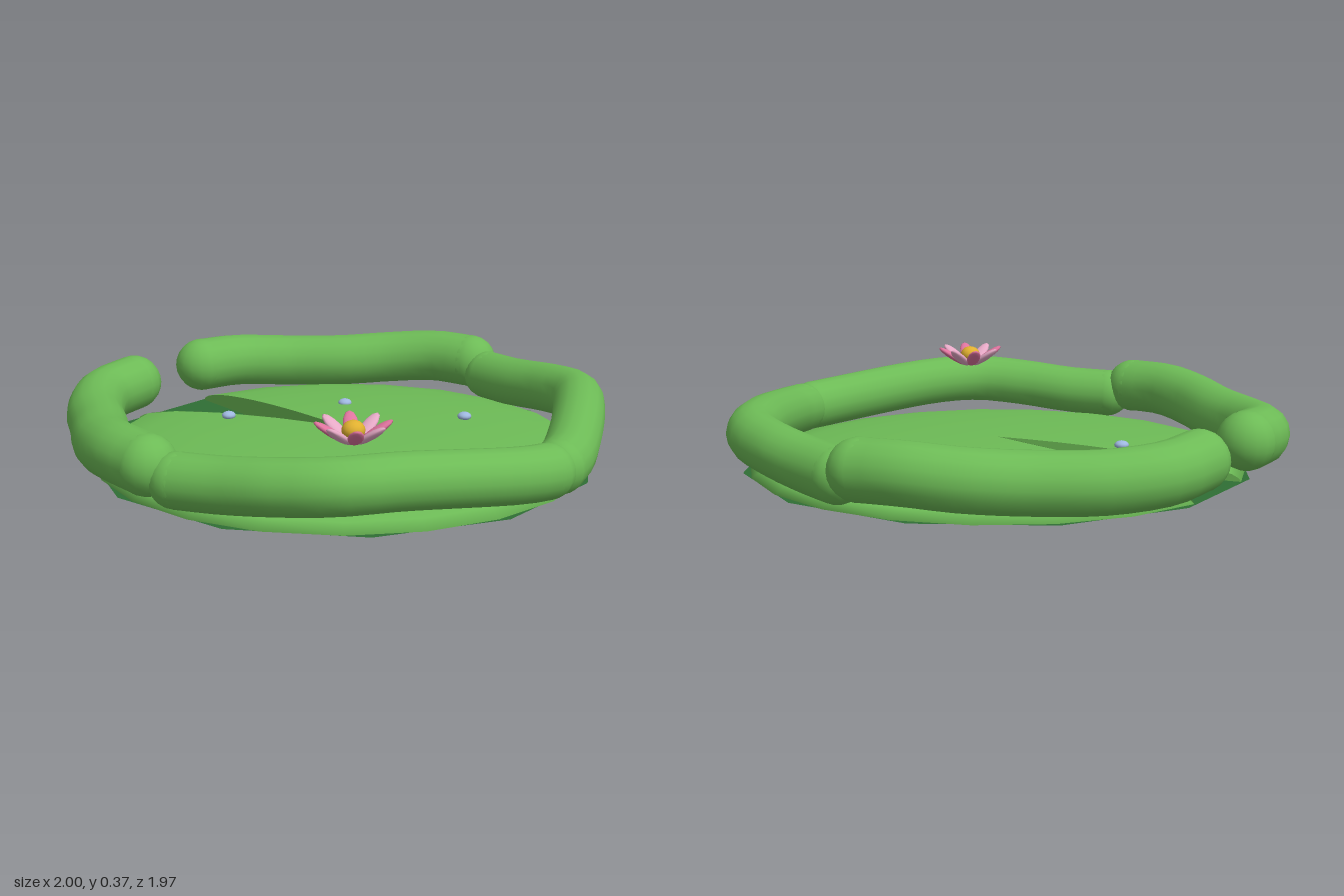
import * as THREE from 'three';

const mat = (name, color, side = THREE.FrontSide) => {
  const m = new THREE.MeshStandardMaterial({ color, side });
  m.name = name;
  return m;
};

export function createModel() {
  const root = new THREE.Group();
  root.name = 'lilyPad';
  const leaf = mat('leaf green', 0x6dbb56);
  const leafTwoSided = mat('leaf green', 0x6dbb56, THREE.DoubleSide);
  leaf.side = THREE.DoubleSide;
  const under = mat('underside dark green', 0x2f6e35);
  const deepPink = mat('deep pink', 0xe0749f);
  const palePink = mat('pale pink', 0xe6a9c6);
  const yellow = mat('pollen yellow', 0xe0b030);
  const water = mat('water blue', 0x9fb8e0);

  const add = (name, geo, material, parent = root) => {
    const m = new THREE.Mesh(geo, material);
    m.name = name;
    parent.add(m);
    return m;
  };

  const rimY = 0.06, domeH = 0.09, padR = 0.89, notch = 0.205;

  // Shallow dark underside with a flat lid that shows through the notch
  const bowl = add('underside',
    new THREE.SphereGeometry(1, 12, 2, Math.PI / 12, Math.PI * 2, Math.PI / 2, Math.PI / 2), under);
  bowl.scale.set(0.91, rimY, 0.91);
  bowl.position.y = rimY;
  const lid = add('undersideLid', new THREE.CircleGeometry(0.91, 12, Math.PI / 12), under);
  lid.rotation.x = -Math.PI / 2;
  lid.position.y = rimY;

  // Domed leaf with a wedge cut out at the back
  const dome = add('leafTop', new THREE.SphereGeometry(1, 20, 5,
    Math.PI * 1.5 + notch, Math.PI * 2 - notch * 2, 0, Math.PI / 2), leaf);
  dome.scale.set(padR, domeH, padR);
  dome.position.y = rimY;

  // Cut faces of the wedge
  const cut = new THREE.Shape();
  cut.moveTo(0, 0);
  cut.lineTo(padR, 0);
  cut.absellipse(0, 0, padR, domeH, 0, Math.PI / 2, false, 0);
  cut.lineTo(0, 0);
  for (const s of [-1, 1]) {
    const wall = add('notchWall', new THREE.ShapeGeometry(cut, 6), leafTwoSided);
    wall.rotation.y = Math.PI / 2 + s * notch;
    wall.position.y = rimY;
  }

  // Rolled rim: two mirrored pairs of tubes with round ends
  const rolls = [
    { name: 'frontRoll', r: 0.093, pts: [[0.035, 0.17, 0.885], [0.14, 0.177, 0.855], [0.53, 0.215, 0.66],
      [0.69, 0.215, 0.545], [0.775, 0.2, 0.38], [0.83, 0.18, 0.18], [0.873, 0.175, 0.035]] },
    { name: 'backRoll', r: 0.103, pts: [[0.185, 0.205, -0.885], [0.36, 0.195, -0.86], [0.52, 0.183, -0.735],
      [0.66, 0.185, -0.555], [0.795, 0.2, -0.385], [0.872, 0.215, -0.225], [0.898, 0.212, -0.07]] },
  ];
  for (const { name, r, pts } of rolls) {
    for (const s of [-1, 1]) {
      const g = new THREE.Group();
      g.name = name;
      root.add(g);
      const path = pts.map(([x, y, z]) => new THREE.Vector3(x * s, y, z));
      add('rollTube', new THREE.TubeGeometry(new THREE.CatmullRomCurve3(path), 18, r, 16), leaf, g);
      for (const p of [path[0], path[path.length - 1]]) {
        add('rollEnd', new THREE.SphereGeometry(r, 16, 12), leaf, g).position.copy(p);
      }
    }
  }

  // Flower: eight upturned petals around a yellow centre
  const flower = new THREE.Group();
  flower.name = 'flower';
  flower.position.set(-0.52, 0, 0.47);
  root.add(flower);
  for (let i = 0; i < 8; i++) {
    const spoke = new THREE.Group();
    spoke.name = 'petalSpoke';
    spoke.rotation.y = i * Math.PI / 4;
    flower.add(spoke);
    const petal = add('petal', new THREE.SphereGeometry(1, 12, 8), i % 2 ? deepPink : palePink, spoke);
    petal.scale.set(0.065, 0.013, 0.026);
    petal.position.set(0.071, 0.336, 0);
    petal.rotation.z = 0.58;
  }
  const heart = add('flowerCentre', new THREE.SphereGeometry(0.038, 14, 10), yellow, flower);
  heart.position.y = 0.342;
  heart.scale.y = 0.85;

  // Water drops resting on the leaf
  for (const [x, z] of [[-0.14, -0.43], [0.27, -0.21], [0.405, 0.25]]) {
    const drop = add('waterDrop', new THREE.SphereGeometry(0.026, 12, 8), water);
    drop.position.set(x, 0.145, z);
    drop.scale.y = 0.6;
  }
  return root;
}
